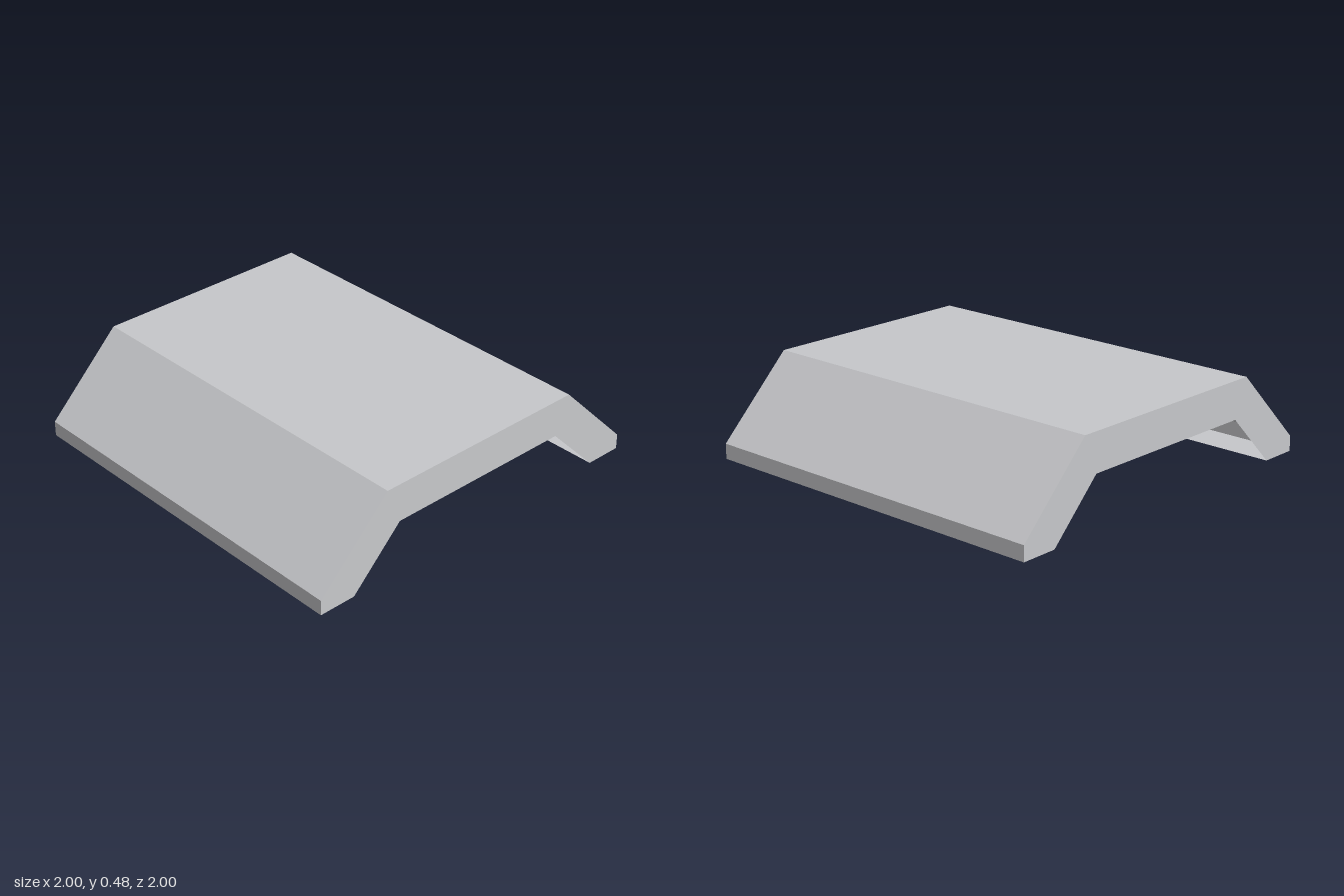
import * as THREE from 'three';

// Outer skin, running from the left foot over the roof to the other foot
const OUTER = [[-0.8, 0], [-1, 0], [-1, 0.08], [-0.6, 0.48], [0.6, 0.48], [1, 0.08], [1, 0], [0.8, 0]];
// Lower edge of the end frames
const INNER = [[0.52, 0.28], [-0.52, 0.28]];
const NAMES = ['rightFoot', 'rightEdge', 'rightSlope', 'roof', 'leftSlope', 'leftEdge', 'leftFoot'];

// Flat panel between two profile points, running the full depth
function panel([ax, ay], [bx, by]) {
  const geo = new THREE.BufferGeometry();
  geo.setAttribute('position', new THREE.Float32BufferAttribute(
    [ax, ay, 1, bx, by, 1, bx, by, -1, ax, ay, -1], 3));
  geo.setIndex([0, 1, 2, 0, 2, 3]);
  geo.computeVertexNormals();
  return geo;
}

export function createModel() {
  const group = new THREE.Group();
  group.name = 'archedCover';
  const grey = new THREE.MeshStandardMaterial({ color: 0xc8c9cc, side: THREE.DoubleSide });
  grey.name = 'light grey';

  const add = (name, geo) => {
    const mesh = new THREE.Mesh(geo, grey);
    mesh.name = name;
    group.add(mesh);
    return mesh;
  };

  // Thin outer panels, open underneath
  NAMES.forEach((name, i) => add(name, panel(OUTER[i], OUTER[i + 1])));

  // End frames at front and back
  const shape = new THREE.Shape([...OUTER, ...INNER].map(([x, y]) => new THREE.Vector2(x, y)));
  const frame = new THREE.ShapeGeometry(shape);
  add('frontFrame', frame).position.z = 1;
  const back = add('backFrame', frame);
  back.position.z = -1;
  back.rotation.y = Math.PI;

  return group;
}
